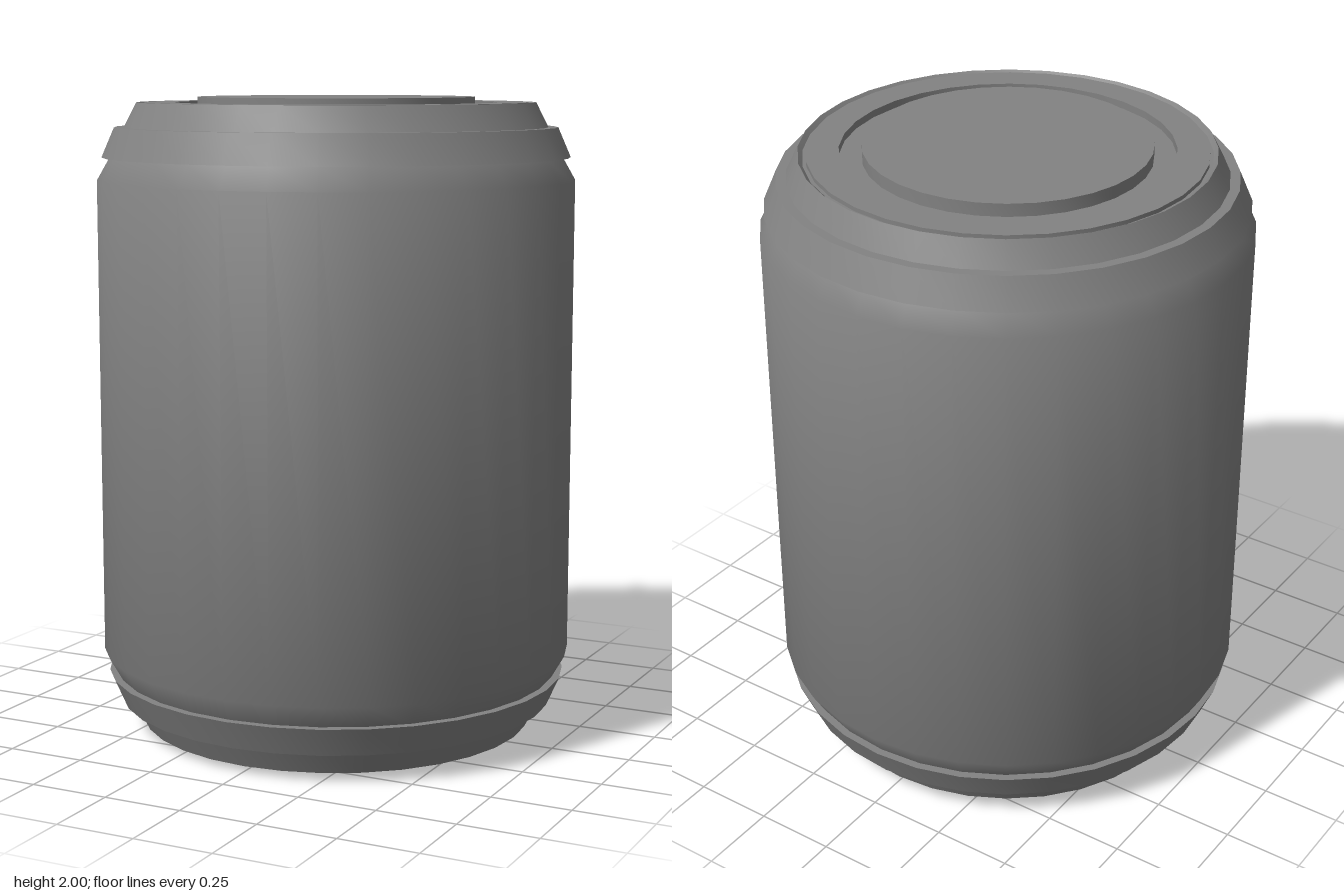
import * as THREE from 'three';
import { toCreasedNormals } from 'three/addons/utils/BufferGeometryUtils.js';

const SIDES = 32;
const HEIGHT = 2;
const material = new THREE.MeshStandardMaterial({ color: 0x828282 });

// Turns a bottom-to-top [radius, y] profile; corners sharper than the crease stay hard.
function turned(name, profile) {
  const points = profile.map(([r, y]) => new THREE.Vector2(r, y));
  const geometry = toCreasedNormals(new THREE.LatheGeometry(points, SIDES), 0.65);
  const mesh = new THREE.Mesh(geometry, material);
  mesh.name = name;
  return mesh;
}

// Mirrors a profile to the other end, keeping its faces outward.
const mirrored = (profile) => profile.map(([r, y]) => [r, HEIGHT - y]).reverse();

export function createModel() {
  const group = new THREE.Group();
  group.name = 'can';

  // Main wall, tapering gently at both ends
  group.add(turned('body', [[0.705, 0.185], [0.745, 0.255], [0.745, 1.745], [0.705, 1.815]]));

  // Overhanging collar, then the narrower rim above it
  const collar = [[0.705, 1.815], [0.73, 1.815], [0.69, 1.907], [0.66, 1.907]];
  const rim = [[0.66, 1.907], [0.621, 1.983], [0.608, 1.97], [0.597, 1.97], [0.597, 1.983]];
  // Flat end with a ring groove and a raised centre disc
  const lid = [[0.597, 1.983], [0.5, 1.983], [0.5, 1.96], [0.432, 1.96], [0.432, 2], [0, 2]];

  for (const [name, profile] of Object.entries({ Collar: collar, Rim: rim, Lid: lid })) {
    group.add(turned('top' + name, profile));
    group.add(turned('bottom' + name, mirrored(profile)));
  }
  return group;
}
